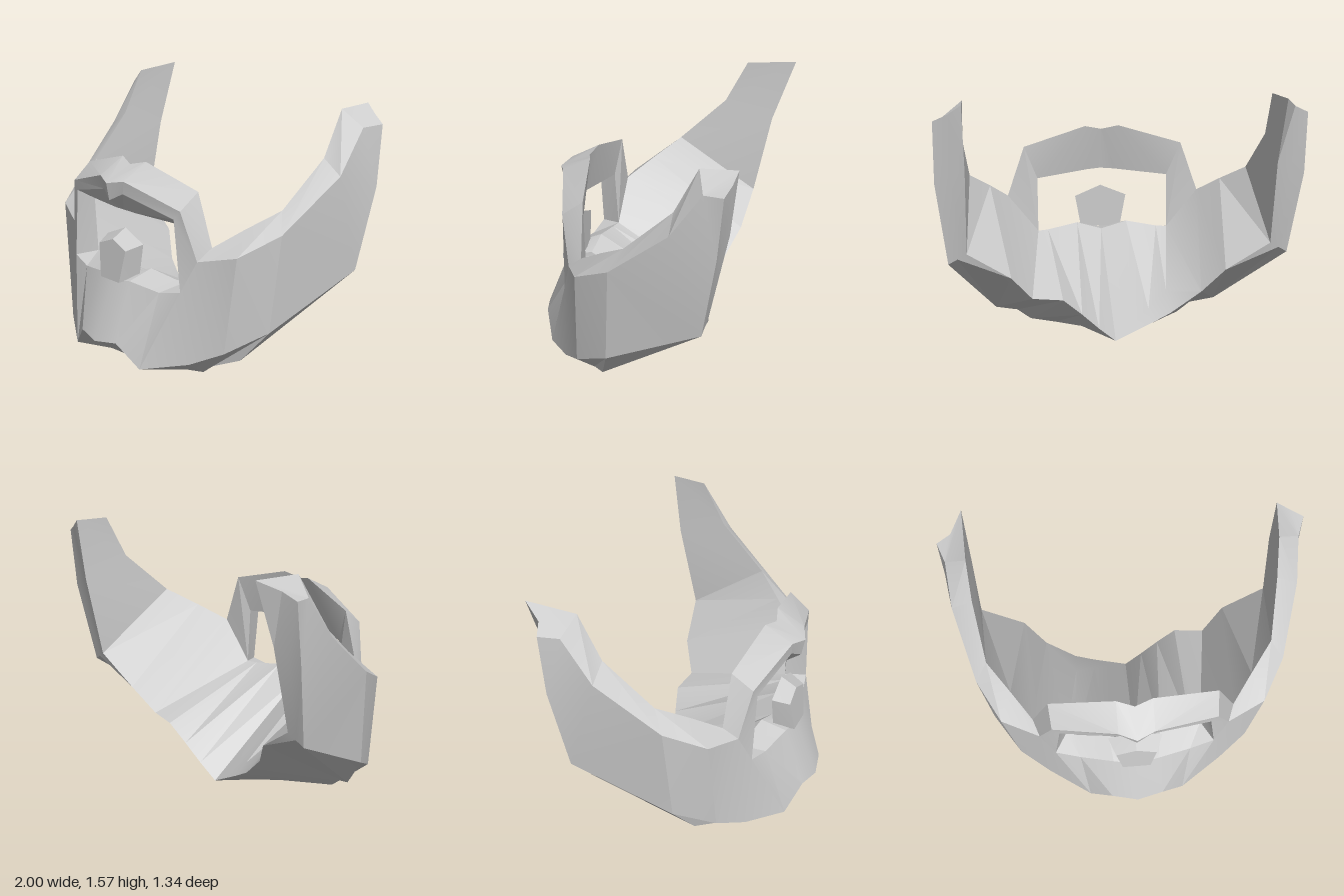
import * as THREE from 'three';
import { toCreasedNormals } from 'three/addons/utils/BufferGeometryUtils.js';

const material = new THREE.MeshStandardMaterial({ color: 0xcccccc });

// Joins equal-sized rings of points into a skin; the diagonals mirror about the middle ring.
function loft(name, rings, caps) {
  const n = rings[0].length, middle = (rings.length - 1) / 2, out = [];
  const tri = (a, b, c) => out.push(...a, ...b, ...c);
  for (let i = 0; i < rings.length - 1; i++) {
    for (let j = 0; j < n; j++) {
      const k = (j + 1) % n;
      const a = rings[i][j], b = rings[i + 1][j], c = rings[i + 1][k], d = rings[i][k];
      if (i < middle) {
        tri(a, d, c);
        tri(a, c, b);
      } else {
        tri(a, d, b);
        tri(b, d, c);
      }
    }
  }
  if (caps) {
    const s = rings[0], e = rings[rings.length - 1];
    for (let j = 1; j < n - 1; j++) {
      tri(s[0], s[j + 1], s[j]);
      tri(e[0], e[j], e[j + 1]);
    }
  }
  const geometry = new THREE.BufferGeometry();
  geometry.setAttribute('position', new THREE.Float32BufferAttribute(out, 3));
  const mesh = new THREE.Mesh(toCreasedNormals(geometry, 0.3), material);
  mesh.name = name;
  return mesh;
}

const flip = ([x, y, z]) => [-x, y, z];

// Half sections run from the middle (x = 0) to the model's left.
const mirrored = (half) => [...half.slice(1).reverse().map((r) => r.map(flip)), ...half];

export function createModel() {
  const group = new THREE.Group();
  group.name = 'beard';

  // Beard: upper front edge, lower front edge, underside, back edge, inner top edge
  const beard = mirrored([
    [[0, 0.58, 0.54], [0, 0.25, 0.67], [0, 0, 0.26], [0, 0.11, -0.25], [0, 0.6, 0.4]],
    [[0.13, 0.6, 0.52], [0.15, 0.27, 0.64], [0.15, 0.03, 0.26], [0.1, 0.2, -0.28], [0.15, 0.65, 0.38]],
    [[0.32, 0.57, 0.47], [0.28, 0.14, 0.58], [0.3, 0.06, 0.26], [0.2, 0.3, -0.31], [0.33, 0.62, 0.35]],
    [[0.46, 0.6, 0.44], [0.52, 0.2, 0.43], [0.45, 0.09, 0.26], [0.31, 0.4, -0.34], [0.39, 0.62, 0.33]],
    [[0.54, 0.78, 0.39], [0.68, 0.28, 0.32], [0.53, 0.15, 0.26], [0.48, 0.41, -0.32], [0.57, 0.85, 0.31]],
    [[0.75, 0.83, 0.3], [0.82, 0.39, 0.12], [0.66, 0.2, 0.18], [0.6, 0.56, -0.4], [0.68, 0.95, 0.17]],
    [[0.87, 0.94, 0.09], [0.94, 0.66, -0.42], [0.89, 0.69, -0.43], [0.84, 0.72, -0.44], [0.8, 1.05, 0.02]],
    [[0.96, 1.22, -0.25], [1, 1.13, -0.5], [0.92, 1.16, -0.51], [0.84, 1.2, -0.54], [0.84, 1.3, -0.25]],
    [[0.96, 1.46, -0.42], [1, 1.47, -0.53], [0.92, 1.51, -0.56], [0.85, 1.56, -0.58], [0.84, 1.55, -0.38]],
  ]);
  // Longer tip of the right sideburn
  beard[0][3] = [-0.85, 1.57, -0.67];
  // Split the back edge in two, so its right side can carry a low rim with a notch in front
  beard.forEach((ring) => ring.splice(3, 0, ring[3]));
  beard[5].splice(3, 2, [-0.31, 0.27, -0.27], [-0.31, 0.36, -0.14]);
  beard[6].splice(3, 2, [-0.2, 0.21, -0.26], [-0.2, 0.27, -0.18]);
  beard[7].splice(3, 2, [-0.1, 0.16, -0.255], [-0.1, 0.19, -0.215]);
  group.add(loft('beardAndSideburns', beard, true));

  // Moustache: outer front, inner front, inner back, outer back
  group.add(loft('moustache', mirrored([
    [[0, 1.14, 0.57], [0, 1.04, 0.55], [0, 0.97, 0.45], [0, 1.22, 0.4]],
    [[0.1, 1.16, 0.53], [0.08, 1.085, 0.52], [0.08, 0.965, 0.44], [0.1, 1.245, 0.37]],
    [[0.46, 1.05, 0.44], [0.42, 1, 0.45], [0.39, 0.94, 0.35], [0.47, 1.14, 0.32]],
    [[0.54, 0.78, 0.39], [0.46, 0.6, 0.44], [0.39, 0.62, 0.33], [0.57, 0.85, 0.31]],
  ]), false));

  // Five-sided tuft below the lip
  group.add(loft('lipTuft', [
    [[0, 0.865, 0.44], [-0.155, 0.8, 0.44], [-0.12, 0.61, 0.44], [0.12, 0.61, 0.44], [0.155, 0.8, 0.44]],
    [[0, 0.815, 0.53], [-0.115, 0.77, 0.535], [-0.08, 0.585, 0.555], [0.08, 0.585, 0.555], [0.115, 0.77, 0.535]],
  ], true));

  return group;
}
